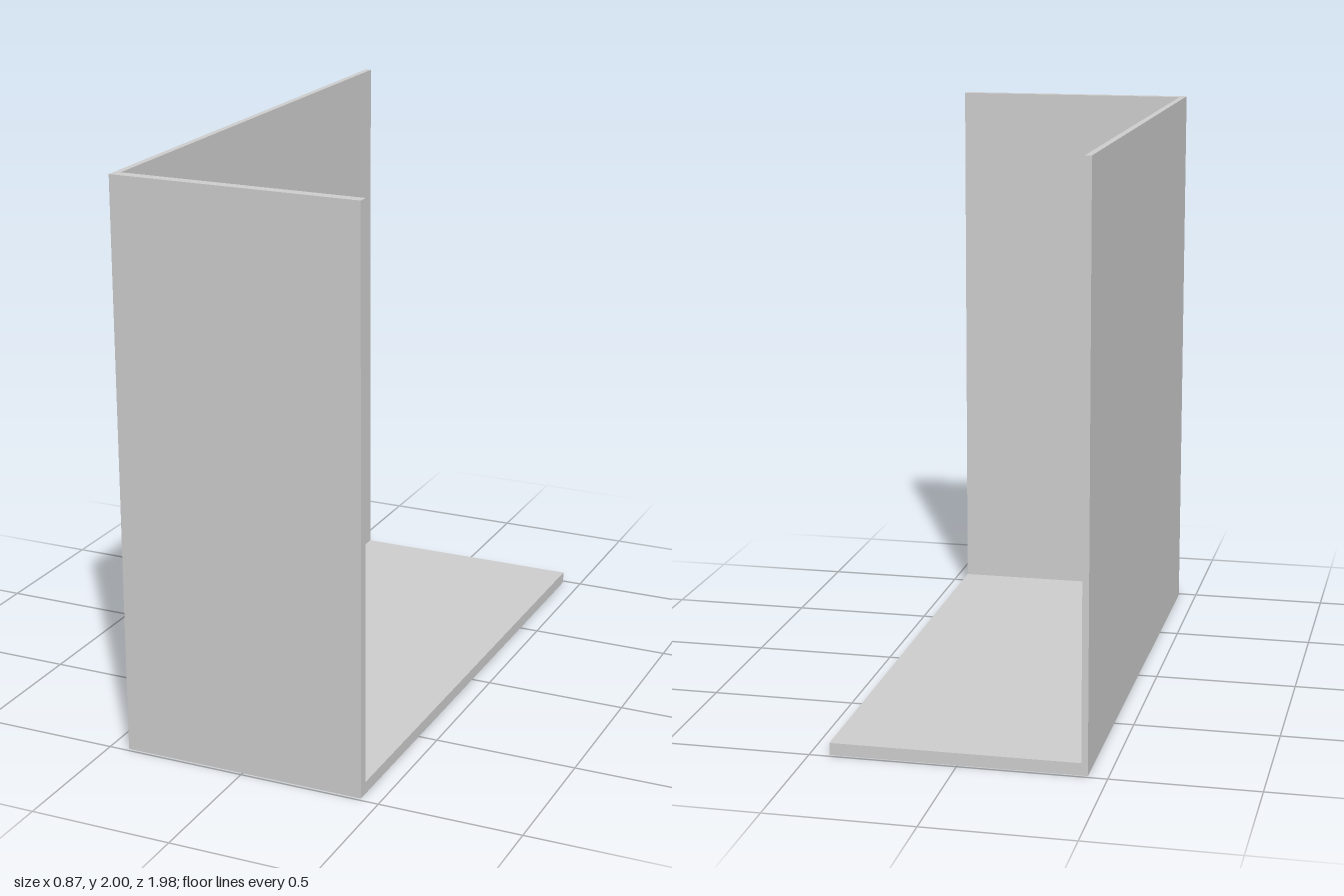
import * as THREE from 'three';

// Overall half width, height and half depth, then panel thicknesses
const X = 0.433, H = 2, Z = 0.988;
const SIDE = 0.022, FRONT = 0.038, BASE = 0.042;

export function createModel() {
  const group = new THREE.Group();
  group.name = 'cornerPanels';
  const material = new THREE.MeshStandardMaterial({ color: 0xcccccc, flatShading: true });

  // Box panel given by its minimum and maximum corners
  const panel = (name, min, max) => {
    const size = max.map((v, i) => v - min[i]);
    const mesh = new THREE.Mesh(new THREE.BoxGeometry(...size), material);
    mesh.position.set(...max.map((v, i) => (v + min[i]) / 2));
    mesh.name = name;
    group.add(mesh);
  };

  // Three mutually perpendicular panels that butt together without overlap
  panel('basePanel', [-X, 0, -Z], [X, BASE, Z]);
  panel('frontPanel', [-X, BASE, Z - FRONT], [X, H, Z]);
  panel('sidePanel', [-X, BASE, -Z], [-X + SIDE, H, Z - FRONT]);

  return group;
}
